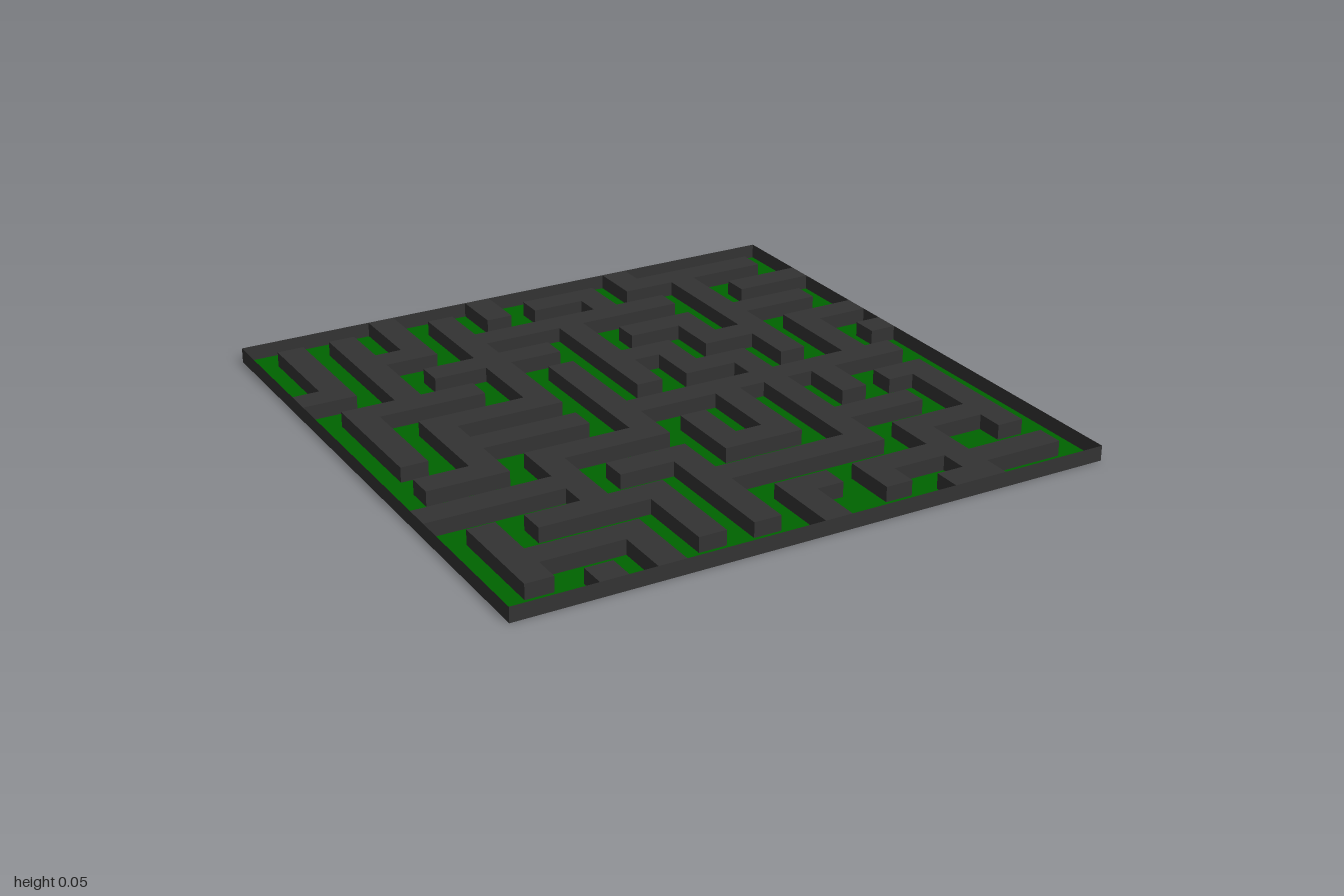
import * as THREE from 'three';
import { mergeGeometries } from 'three/addons/utils/BufferGeometryUtils.js';

// '#' is a raised wall cell, '.' is open floor; rows run from back to front
const MAZE = [
  '.....#...#.....#......',
  '.#.#.#.#.#.###.######.',
  '.#.#.#.#.....#...#....',
  '.#.###.#########.#.###',
  '.#.#...#...#.....#....',
  '##.#.#####.#.###.####.',
  '...#...#...#...#.#....',
  '.#####.#.#.###.###.###',
  '.#.....#.#.#.#...#.#..',
  '.#.#####.#.#.###.#.#.#',
  '.#.#.....#.....#...#..',
  '.#.#####.############.',
  '...#.....#...#.#.#....',
  '.###.#####.#.#.#.#.##.',
  '.....#.....#.#.#....#.',
  '######.###.###.####.#.',
  '.....#...#.....#....#.',
  '.#.#####.#######.####.',
  '.#.....#.#.......#..#.',
  '.#####.#.#.##.####....',
  '.#...#.#.#.#..#..####.',
  '...#.#.....#....##....',
];
const N = MAZE.length;
const CELL = 2 / N;
const HEIGHT = 0.05;
const SIDES = [[0, 1], [1, 0], [0, -1], [-1, 0]]; // outward x, z

// Horizontal tile over one cell
function tile(x, z, y) {
  return new THREE.PlaneGeometry(CELL, CELL).rotateX(-Math.PI / 2).translate(x, y, z);
}

// Upright panel facing (dx, dz), set off from a centre point
function panel(x, z, dx, dz, width) {
  return new THREE.PlaneGeometry(width, HEIGHT)
    .rotateY(Math.atan2(dx, dz))
    .translate(x + dx * width / 2, HEIGHT / 2, z + dz * width / 2);
}

function part(name, geometries, color) {
  const material = new THREE.MeshStandardMaterial({ color, side: THREE.DoubleSide });
  const mesh = new THREE.Mesh(mergeGeometries(geometries), material);
  mesh.name = name;
  return mesh;
}

export function createModel() {
  const floor = [], tops = [], sides = [];
  for (let r = 0; r < N; r++) {
    for (let c = 0; c < N; c++) {
      const x = -1 + (c + 0.5) * CELL;
      const z = -1 + (r + 0.5) * CELL;
      if (MAZE[r][c] === '.') {
        floor.push(tile(x, z, 0));
        continue;
      }
      tops.push(tile(x, z, HEIGHT));
      // A side panel wherever a wall meets open floor
      for (const [dx, dz] of SIDES) {
        if (MAZE[r + dz]?.[c + dx] === '.') sides.push(panel(x, z, dx, dz, CELL));
      }
    }
  }
  // Thin rim around the square
  const rim = SIDES.map(([dx, dz]) => panel(0, 0, dx, dz, 2));

  const model = new THREE.Group();
  model.name = 'maze';
  model.add(
    part('floor', floor, 0x006400),
    part('wallTops', tops, 0x333333),
    part('wallSides', sides, 0x333333),
    part('outerRim', rim, 0x333333),
  );
  return model;
}
